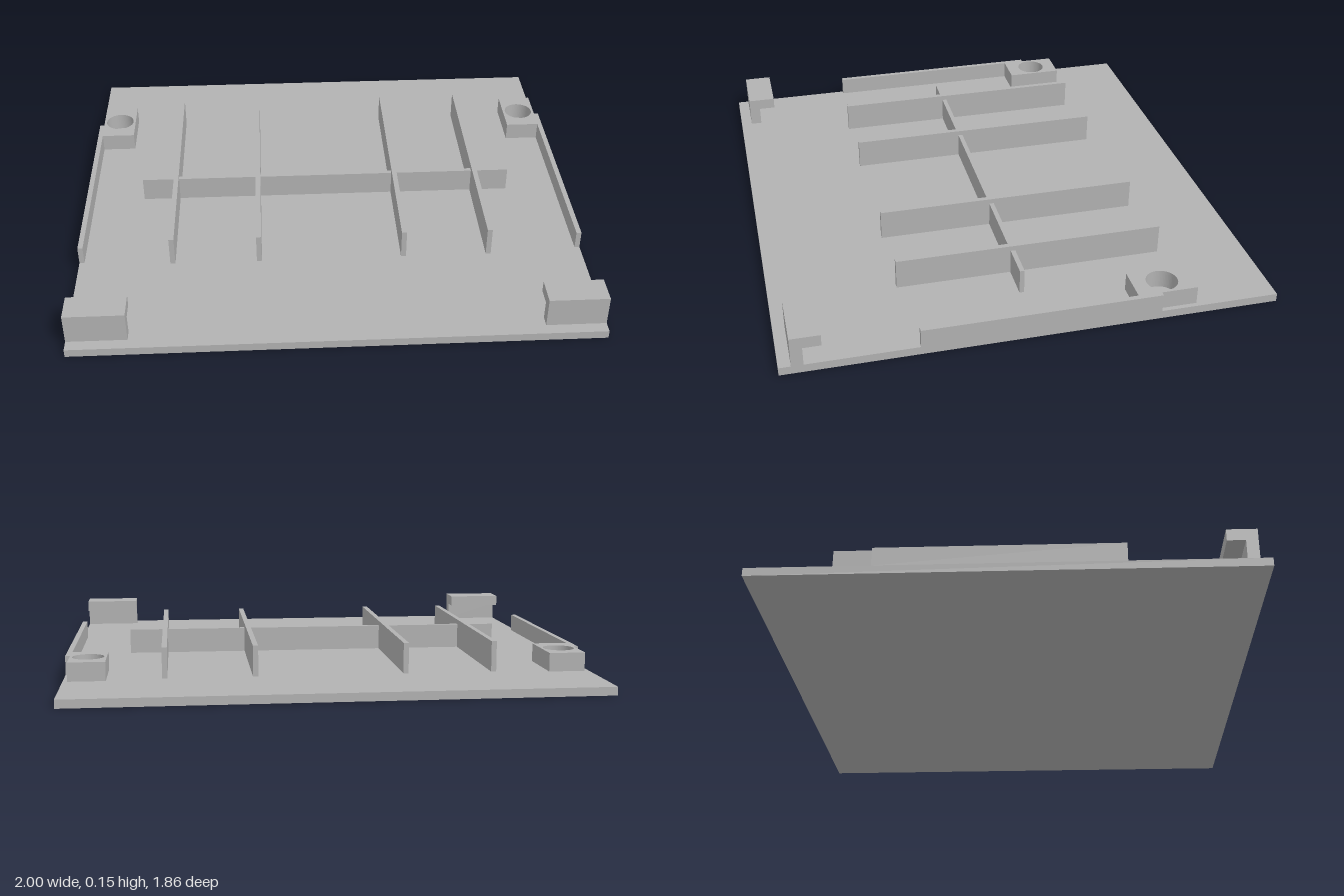
import * as THREE from 'three';

export function createModel() {
  const model = new THREE.Group();
  model.name = 'coverPanel';
  const grey = new THREE.MeshStandardMaterial({ color: 0xb2b2b2 });
  grey.name = 'plain grey';
  const TOP = 0.032; // upper face of the plate

  const add = (name, geometry) => {
    const mesh = new THREE.Mesh(geometry, grey);
    mesh.name = name;
    model.add(mesh);
    return mesh;
  };

  // Box given by its limits on each axis
  const box = (name, x0, x1, y0, y1, z0, z1) =>
    add(name, new THREE.BoxGeometry(x1 - x0, y1 - y0, z1 - z0))
      .position.set((x0 + x1) / 2, (y0 + y1) / 2, (z0 + z1) / 2);

  // Base plate
  box('basePlate', -1, 1, 0, TOP, -0.93, 0.93);

  // Long stiffening ribs and the lower cross rib
  for (const x of [-0.63, -0.288, 0.286, 0.626]) {
    box('longRib', x - 0.01, x + 0.01, TOP, 0.15, -0.59, 0.45);
  }
  box('crossRib', -0.772, 0.772, TOP, 0.13, -0.011, 0.007);

  // Hooked clip profile, drawn with shape x along -z
  const clip = new THREE.Shape([
    [-0.885, TOP], [-0.841, TOP], [-0.841, 0.105],
    [-0.774, 0.105], [-0.774, 0.15], [-0.885, 0.15],
  ].map(([x, y]) => new THREE.Vector2(x, y)));

  // Screw block with a round blind hole, drawn in plan with shape y along -z
  const block = new THREE.Shape([
    [-0.07, -0.115], [0.07, -0.115], [0.07, 0.115], [-0.07, 0.115],
  ].map(([x, y]) => new THREE.Vector2(x, y)));
  const hole = new THREE.Path();
  hole.absarc(0, 0, 0.06, 0, Math.PI * 2, true);
  block.holes.push(hole);

  for (const side of [-1, 1]) {
    const prefix = side > 0 ? 'left' : 'right';

    // Side wall along the plate edge
    const inner = side * 0.98, outer = side;
    box(prefix + 'SideWall', Math.min(inner, outer), Math.max(inner, outer),
      TOP, 0.104, -0.475, 0.427);

    // Front clip
    const clipMesh = add(prefix + 'Clip',
      new THREE.ExtrudeGeometry(clip, { depth: 0.227, bevelEnabled: false }));
    clipMesh.rotation.y = Math.PI / 2;
    clipMesh.position.x = side > 0 ? 0.773 : -1;

    // Rear screw block
    const blockMesh = add(prefix + 'ScrewBlock',
      new THREE.ExtrudeGeometry(block, { depth: 0.104 - TOP, bevelEnabled: false, curveSegments: 32 }));
    blockMesh.rotation.x = -Math.PI / 2;
    blockMesh.position.set(side * 0.912, TOP, -0.5);
  }

  return model;
}
